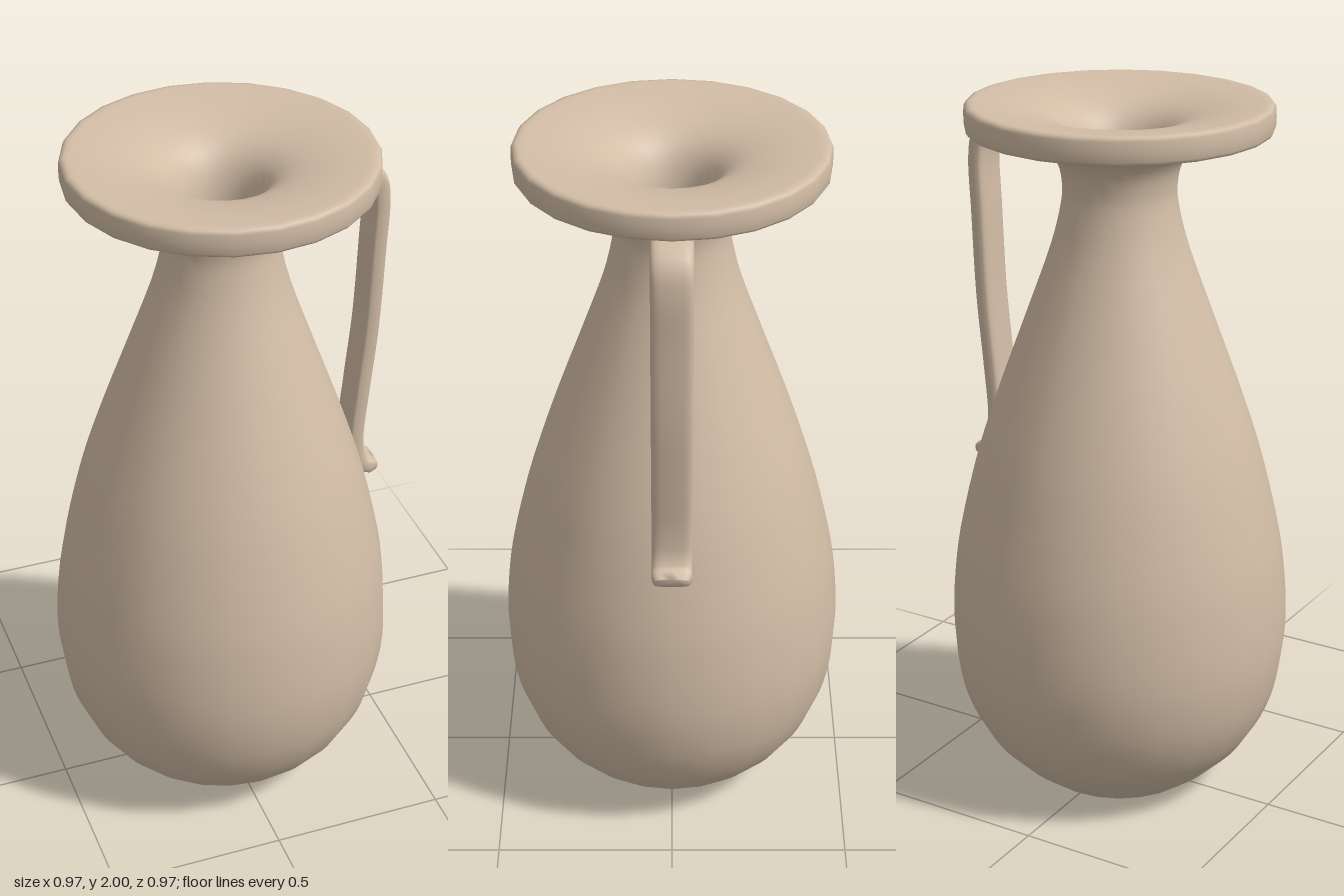
import * as THREE from 'three';

const SIDES = 24;
const vectors = (list) => list.map(([x, y]) => new THREE.Vector2(x, y));
const smooth = (list, n) => new THREE.SplineCurve(vectors(list)).getPoints(n);

// Sweeps a rounded-rectangle section along a curve in the xy plane
function strapGeometry(path, steps, halfWidth, halfThickness, sides = 20) {
  const soft = (v) => Math.sign(v) * Math.pow(Math.abs(v), 0.55);
  const positions = [];
  const index = [];
  for (let i = 0; i <= steps; i++) {
    const t = i / steps;
    const p = path.getPointAt(t);
    const d = path.getTangentAt(t);
    // Rounded tips
    const end = Math.min(t, 1 - t) * steps;
    const scale = end < 1 ? 0.6 : 1;
    for (let j = 0; j < sides; j++) {
      const a = (j / sides) * Math.PI * 2;
      const n = soft(Math.cos(a)) * halfThickness * scale;
      const w = soft(Math.sin(a)) * halfWidth * (end < 1 ? 0.9 : 1);
      positions.push(p.x - d.y * n, p.y + d.x * n, w);
    }
  }
  for (let i = 0; i < steps; i++) {
    for (let j = 0; j < sides; j++) {
      const a = i * sides + j;
      const b = i * sides + ((j + 1) % sides);
      index.push(a, a + sides, b, b, a + sides, b + sides);
    }
  }
  // End caps
  const last = steps * sides;
  for (let j = 1; j < sides - 1; j++) {
    index.push(0, j, j + 1, last, last + j + 1, last + j);
  }
  const geometry = new THREE.BufferGeometry();
  geometry.setAttribute('position', new THREE.Float32BufferAttribute(positions, 3));
  geometry.setIndex(index);
  geometry.computeVertexNormals();
  return geometry;
}

export function createModel() {
  const model = new THREE.Group();
  const clay = new THREE.MeshStandardMaterial({ color: 0xd2bda6, side: THREE.DoubleSide });
  clay.name = 'clay';

  const add = (name, geometry) => {
    const mesh = new THREE.Mesh(geometry, clay);
    mesh.name = name;
    model.add(mesh);
  };
  const turn = (name, points) => add(name, new THREE.LatheGeometry(points, SIDES));

  // Pear-shaped wall, flaring neck, rim band, dished mouth and hollow inside
  const wall = smooth([
    [0.225, 0], [0.25, 0.017], [0.33, 0.083], [0.4, 0.165], [0.45, 0.27], [0.475, 0.38],
    [0.483, 0.49], [0.476, 0.62], [0.455, 0.77], [0.4, 1.0], [0.335, 1.2], [0.262, 1.4],
    [0.19, 1.6], [0.16, 1.72], [0.157, 1.78], [0.17, 1.835], [0.205, 1.878], [0.26, 1.9],
    [0.33, 1.912], [0.4, 1.922],
  ], 60);
  const rim = vectors([[0.412, 1.926], [0.418, 1.935], [0.419, 1.96], [0.418, 1.988], [0.413, 1.997], [0.403, 2]]);
  const mouth = smooth([
    [0.39, 2], [0.3, 1.99], [0.21, 1.968], [0.155, 1.94], [0.12, 1.9], [0.098, 1.84],
    [0.09, 1.76], [0.1, 1.68], [0.21, 1.4], [0.35, 1.0], [0.43, 0.6], [0.41, 0.32],
    [0.3, 0.12], [0.2, 0.05],
  ], 42);
  turn('body', [...wall, ...rim, ...mouth]);
  turn('base', vectors([[0, 0], [0.225, 0]]));
  turn('innerFloor', vectors([[0.2, 0.05], [0, 0.05]]));

  // Strap handle from under the rim to the shoulder, with a curled foot
  const path = new THREE.CatmullRomCurve3([
    [0.3, 1.91], [0.34, 1.893], [0.4, 1.888], [0.432, 1.86], [0.443, 1.8], [0.438, 1.65],
    [0.427, 1.4], [0.408, 1.2], [0.396, 1.05], [0.402, 0.975], [0.425, 0.937], [0.462, 0.927],
  ].map(([x, y]) => new THREE.Vector3(x, y, 0)));
  add('handle', strapGeometry(path, 60, 0.055, 0.026));

  return model;
}
